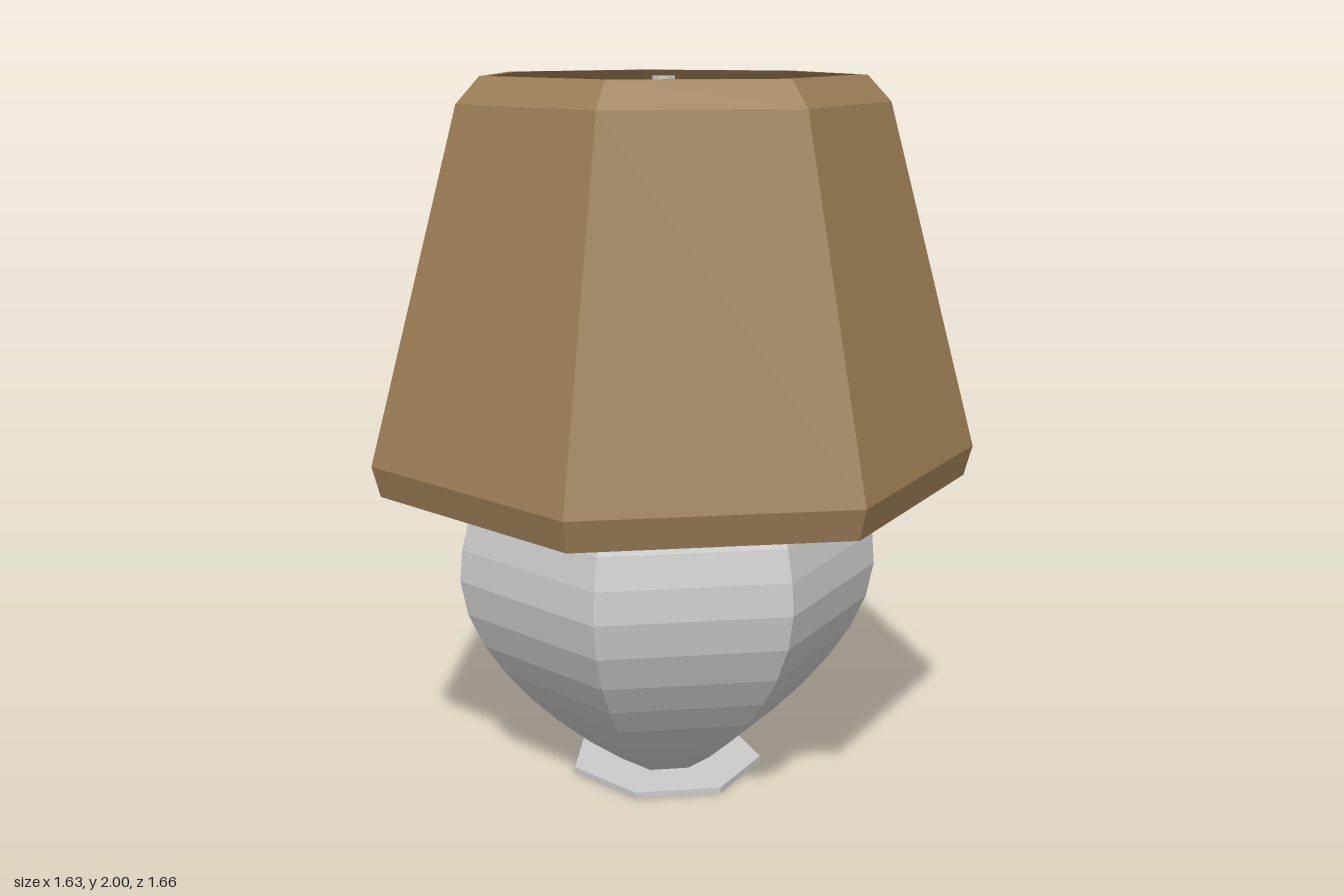
import * as THREE from 'three';

const SIDES = 7;
const TURN = -1.555; // one corner points almost exactly to -x
const CX = 0.035, CZ = -0.02;

const material = (color) => new THREE.MeshStandardMaterial({ color, flatShading: true });

export function createModel() {
  const model = new THREE.Group();
  const grey = material(0xcccccc);
  const brown = material(0x9c7e56);

  const add = (name, geometry, mat, x, y, z) => {
    const mesh = new THREE.Mesh(geometry, mat);
    mesh.name = name;
    mesh.position.set(x, y, z);
    model.add(mesh);
    return mesh;
  };
  // Seven-sided turned form from [radius, height] pairs
  const turned = (points) => new THREE.LatheGeometry(
    points.map(([r, y]) => new THREE.Vector2(r, y)), SIDES, TURN, Math.PI * 2);

  // Thin foot plate
  add('footPlate', turned([[0, 0], [0.283, 0], [0.283, 0.018], [0, 0.018]]), grey, CX, 0, CZ);

  // Body: tapered lower half, round upper half
  const body = [[0, 0.015], [0.13, 0.02], [0.23, 0.09], [0.325, 0.17], [0.41, 0.255],
    [0.48, 0.34], [0.54, 0.43], [0.585, 0.53]];
  for (let i = 0; i <= 9; i++) {
    const a = i / 10 * Math.PI / 2;
    body.push([0.605 * Math.cos(a), 0.63 + 0.575 * Math.sin(a)]);
  }
  body.push([0, 1.205]);
  add('body', turned(body), grey, 0.03, 0, CZ);

  // Hollow shade with turned-in top and bottom rims
  add('shade', turned([
    [0.81, 0.9], [0.83, 0.9], [0.852, 0.985], [0.595, 1.93], [0.53, 2],
    [0.508, 2], [0.572, 1.922], [0.83, 0.983], [0.81, 0.9],
  ]), brown, 0.04, 0, -0.003);

  // Centre rod and the bar that carries the shade
  add('rod', new THREE.CylinderGeometry(0.033, 0.033, 0.82, 8), grey, 0.032, 1.585, -0.03);
  const bar = add('shadeBar', new THREE.BoxGeometry(0.99, 0.022, 0.06), brown, 0.042, 1.96, -0.03);
  bar.rotation.y = 0.487;

  // Socket arm, tipped slightly up at the front
  const arm = add('socketArm', new THREE.BoxGeometry(0.1, 0.08, 0.31), grey, 0.033, 1.71, -0.015);
  arm.rotation.order = 'YXZ';
  arm.rotation.set(-0.15, 0.147, 0);

  // Bulb hanging below the arm
  const bulb = [[0, -0.27], [0.045, -0.258], [0.077, -0.225], [0.09, -0.18], [0.08, -0.13],
    [0.055, -0.085], [0.04, -0.05], [0.04, 0]].map(([r, y]) => new THREE.Vector2(r, y));
  const glass = new THREE.MeshStandardMaterial({ color: 0xcccccc });
  add('bulb', new THREE.LatheGeometry(bulb, 20), glass, 0.045, 1.7, 0.1);

  return model;
}
